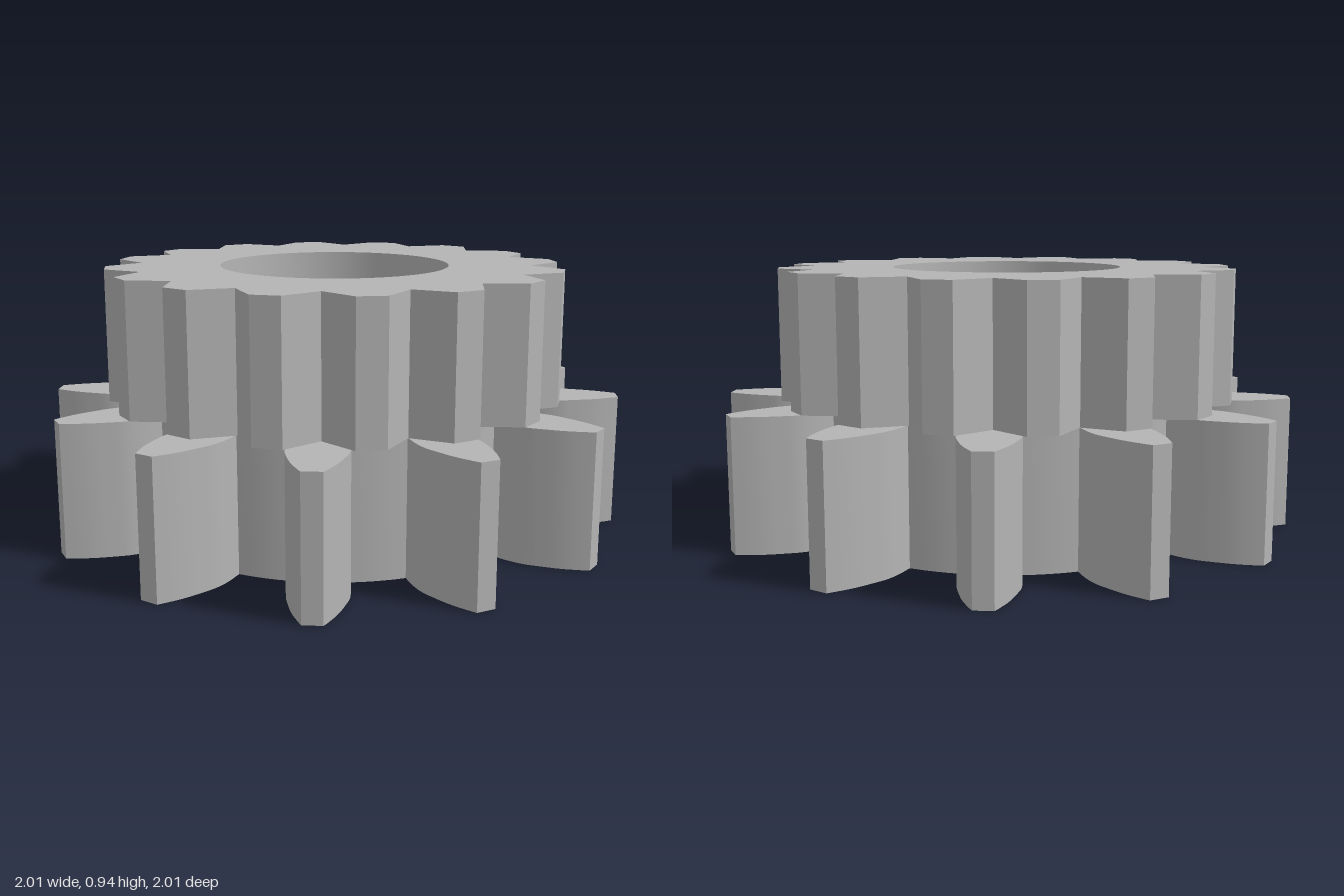
import * as THREE from 'three';
import { toCreasedNormals } from 'three/addons/utils/BufferGeometryUtils.js';

const BORE = 0.41;    // radius of the through hole
const HEIGHT = 0.47;  // thickness of each gear

const polar = (r, deg) => {
  const a = THREE.MathUtils.degToRad(deg);
  return new THREE.Vector2(r * Math.cos(a), r * Math.sin(a));
};

// Extrudes an outline with the bore cut out, standing on y = 0
function gearGeometry(outline) {
  const shape = new THREE.Shape(outline);
  shape.holes.push(new THREE.Path().absarc(0, 0, BORE, 0, Math.PI * 2, true));
  const geometry = new THREE.ExtrudeGeometry(shape, {
    depth: HEIGHT, bevelEnabled: false, curveSegments: 36,
  });
  geometry.rotateX(-Math.PI / 2);
  return toCreasedNormals(geometry, THREE.MathUtils.degToRad(25));
}

// Twelve long teeth with curved flanks and round roots
function largeOutline() {
  const flank = new THREE.SplineCurve([
    [0.70, 7.2], [0.77, 7.4], [0.83, 6.9], [0.88, 5.8], [0.95, 4.2], [1.03, 1.85],
  ].map(([r, half]) => new THREE.Vector2(r, half))).getPoints(12);
  const points = [];
  for (let i = 0; i < 12; i++) {
    const centre = 15 + i * 30;
    flank.forEach((p) => points.push(polar(p.x, centre - p.y)));
    [...flank].reverse().forEach((p) => points.push(polar(p.x, centre + p.y)));
    // root arc up to the next tooth
    for (let k = 1; k < 4; k++) points.push(polar(0.70, centre + 7.2 + (k / 4) * 15.6));
  }
  return points;
}

// Sixteen short straight teeth with sharp valleys
function smallOutline() {
  const points = [];
  for (let i = 0; i < 16; i++) {
    const start = i * 22.5;
    points.push(polar(0.818, start), polar(0.705, start + 7.8), polar(0.818, start + 15.5));
  }
  return points;
}

export function createModel() {
  const metal = new THREE.MeshStandardMaterial({ color: 0xb4b4b4 });
  metal.name = 'grey metal';

  const group = new THREE.Group();
  group.name = 'doubleGear';

  const lower = new THREE.Mesh(gearGeometry(largeOutline()), metal);
  lower.name = 'lowerGear';

  const upper = new THREE.Mesh(gearGeometry(smallOutline()), metal);
  upper.name = 'upperGear';
  upper.position.y = HEIGHT;

  group.add(lower, upper);
  return group;
}
